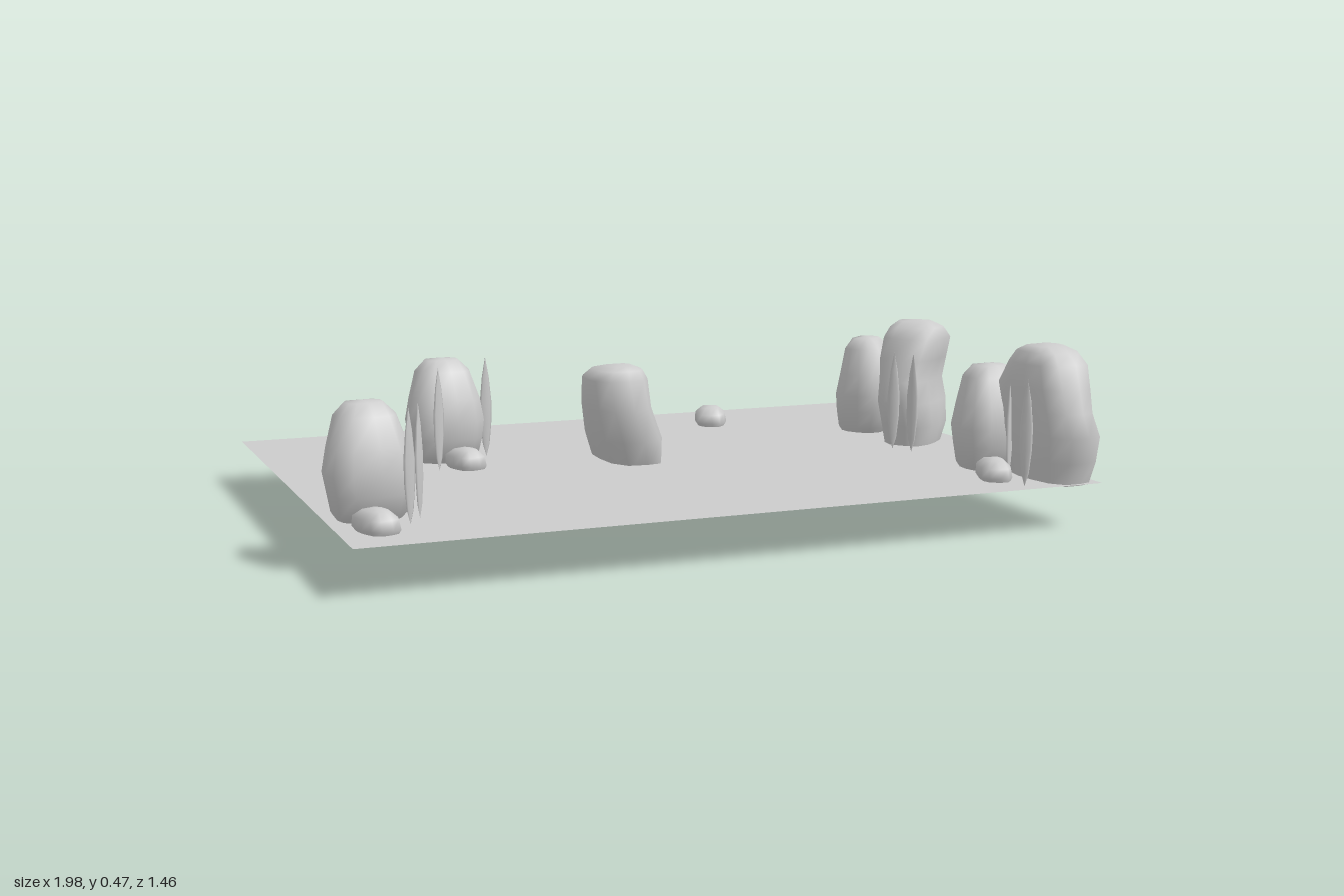
import * as THREE from 'three';

const material = new THREE.MeshStandardMaterial({ color: 0xcccccc, side: THREE.DoubleSide });

// Chamfered plan outline shared by the stones, as fractions of half width and half depth
const OUTLINE = [
  [1, -0.45], [1, 0.1], [0.9, 0.55], [0.6, 0.95], [0.1, 1], [-0.55, 0.95],
  [-0.92, 0.6], [-1, 0.05], [-0.95, -0.5], [-0.75, -0.92], [-0.1, -0.95], [0.7, -1],
];

// Stone skinned over rings of [y, x0, x1, z0, z1], lowest first
function stoneGeometry(rings) {
  const n = OUTLINE.length, pos = [], index = [];
  const addRing = ([y, x0, x1, z0, z1]) => {
    for (const [u, v] of OUTLINE) {
      pos.push((x0 + x1) / 2 + u * (x1 - x0) / 2, y, (z0 + z1) / 2 + v * (z1 - z0) / 2);
    }
  };
  rings.forEach(addRing);
  for (let r = 0; r < rings.length - 1; r++) {
    for (let i = 0; i < n; i++) {
      const a = r * n + i, b = r * n + (i + 1) % n;
      index.push(a, a + n, b, b, a + n, b + n);
    }
  }
  // smooth cap on top, flat cap with its own corners underneath
  const last = (rings.length - 1) * n;
  const [ty, tx0, tx1, tz0, tz1] = rings[rings.length - 1];
  const top = pos.length / 3;
  pos.push((tx0 + tx1) / 2, ty + 0.005, (tz0 + tz1) / 2);
  for (let i = 0; i < n; i++) index.push(last + i, top, last + (i + 1) % n);
  const base = pos.length / 3;
  addRing(rings[0]);
  for (let i = 1; i < n - 1; i++) index.push(base, base + i, base + i + 1);

  const g = new THREE.BufferGeometry();
  g.setAttribute('position', new THREE.Float32BufferAttribute(pos, 3));
  g.setIndex(index);
  g.computeVertexNormals();
  return g;
}

const boulder = stoneGeometry([
  [0.12, -0.06, 0.08, -0.10, 0.12],
  [0.18, -0.07, 0.095, -0.12, 0.135],
  [0.25, -0.08, 0.09, -0.14, 0.155],
  [0.31, -0.08, 0.075, -0.145, 0.135],
  [0.37, -0.085, 0.085, -0.145, 0.115],
  [0.43, -0.08, 0.1, -0.11, 0.085],
  [0.46, -0.065, 0.08, -0.09, 0.06],
  [0.475, -0.045, 0.05, -0.06, 0.02],
]);

const mediumRock = stoneGeometry([
  [0.1, -0.06, 0.06, -0.055, 0.03],
  [0.14, -0.09, 0.09, -0.075, 0.07],
  [0.19, -0.1, 0.1, -0.08, 0.085],
  [0.24, -0.11, 0.105, -0.08, 0.09],
  [0.3, -0.1, 0.095, -0.07, 0.08],
  [0.375, -0.08, 0.07, -0.06, 0.05],
  [0.405, -0.05, 0.04, -0.045, 0.02],
]);

const pebble = stoneGeometry([
  [0.115, -0.035, 0.04, -0.05, 0.05],
  [0.135, -0.05, 0.05, -0.065, 0.065],
  [0.16, -0.05, 0.045, -0.06, 0.06],
  [0.177, -0.03, 0.025, -0.035, 0.035],
]);

// Leaning stone whose wedge-shaped foot sinks through the ground
const leaningStone = stoneGeometry([
  [0.005, -0.065, 0.035, -0.115, -0.085],
  [0.05, -0.085, 0.045, -0.175, -0.03],
  [0.1, -0.11, 0.045, -0.245, 0.025],
  [0.19, -0.145, 0.04, -0.23, 0.05],
  [0.28, -0.17, 0.0, -0.18, 0.06],
  [0.36, -0.178, -0.01, -0.14, 0.045],
  [0.385, -0.155, -0.025, -0.11, 0.03],
  [0.395, -0.12, -0.05, -0.07, 0.0],
]);

// Thin pointed grass blade
const blade = new THREE.LatheGeometry(
  [[0, 0.125], [0.01, 0.16], [0.016, 0.22], [0.017, 0.28], [0.01, 0.35], [0, 0.405]]
    .map(([r, y]) => new THREE.Vector2(r, y)), 8);
blade.scale(1, 1, 0.3);

export function createModel() {
  const root = new THREE.Group();
  root.name = 'rockGarden';

  const place = (name, geometry, x, z, turn = 0, sx = 1, sz = 1) => {
    const mesh = new THREE.Mesh(geometry, material);
    mesh.name = name;
    mesh.position.set(x, 0, z);
    mesh.rotation.y = turn;
    mesh.scale.set(sx, 1, sz);
    root.add(mesh);
  };

  // Flat sheet of ground
  const groundSheet = new THREE.PlaneGeometry(1.98, 1.44).rotateX(-Math.PI / 2);
  groundSheet.translate(-0.01, 0.125, -0.02);
  place('ground', groundSheet, 0, 0);

  // Central stone and the two big boulders
  place('leaningStone', leaningStone, 0, 0);
  place('boulder', boulder, 0.89, 0.575, 0.12, 0.95, 0.97);
  place('boulder', boulder, 0.835, -0.05, -0.8, 1, 0.92);

  // Medium rocks: [x, z, turn]
  for (const [x, z, turn] of [
    [-0.52, -0.25, 0.05], [-0.89, 0.4, 0.05], [0.83, 0.4, 0.05], [0.81, -0.255, 0.65],
  ]) place('mediumRock', mediumRock, x, z, turn);

  // Pebbles: [x, z, turn, width scale, depth scale]
  for (const [x, z, turn, sx, sz] of [
    [-0.5, -0.115, 0.35, 0.9, 0.88], [-0.908, 0.55, 0.35, 0.9, 0.95], [0.75, 0.545, -0.35, 0.9, 1],
    [0.4, -0.52, -0.4, 0.95, 1.08], [-0.82, -0.245, -0.15, 0.75, 0.85],
  ]) place('pebble', pebble, x, z, turn, sx, sz);

  // Grass blades: [x, z, turn]
  for (const [x, z, turn] of [
    [-0.4, -0.262, 0.05], [-0.58, -0.1, 0.35], [-0.78, 0.45, 0.7], [-0.818, 0.506, 0.4],
    [0.713, 0.065, -0.6], [0.74, 0.125, -0.9], [0.768, 0.662, -0.8], [0.81, 0.52, 0.5],
  ]) place('grassBlade', blade, x, z, turn);

  return root;
}
